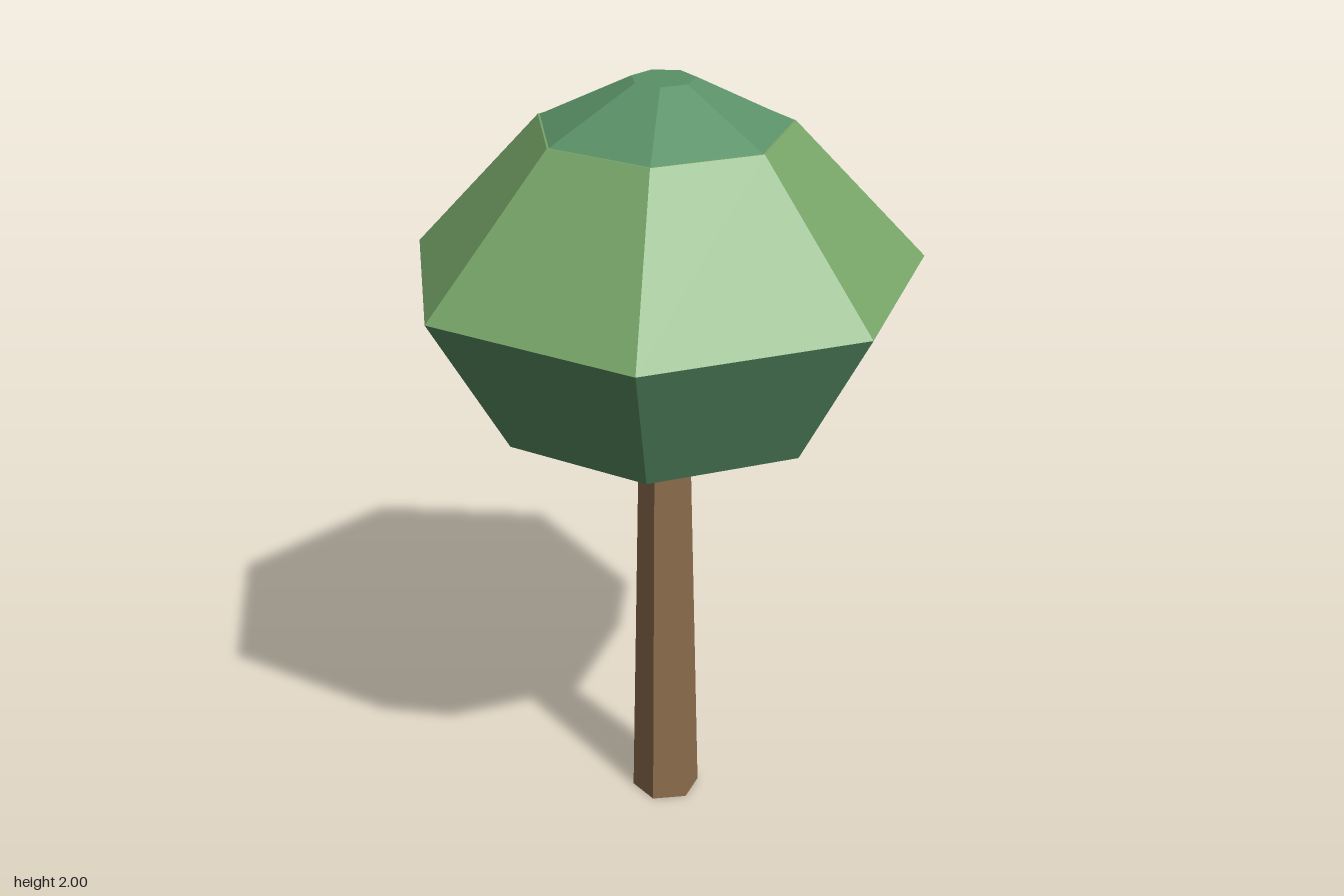
import * as THREE from 'three';

// Low-poly tree: a six-sided trunk under a seven-sided crown in three tiers
export function createModel() {
  const tree = new THREE.Group();
  tree.name = 'tree';

  const material = (name, color) => {
    const m = new THREE.MeshStandardMaterial({ color, flatShading: true });
    m.name = name;
    return m;
  };
  const bark = material('bark brown', 0x8f6f4e);
  const leaf = material('leaf green', 0x78a669);
  const deepLeaf = material('deep green', 0x5a9167);

  const axisX = -0.033;

  // Tapered prism between two heights, with one corner pointing to +x
  const tier = (name, sides, y0, r0, y1, r1, mat) => {
    const geometry = new THREE.CylinderGeometry(r1, r0, y1 - y0, sides, 1, false, Math.PI / 2);
    const mesh = new THREE.Mesh(geometry, mat);
    mesh.name = name;
    mesh.position.set(axisX, (y0 + y1) / 2, 0);
    tree.add(mesh);
  };

  tier('trunk', 6, 0, 0.09, 1.17, 0.064, bark);
  tier('lowerCrown', 7, 1.16, 0.445, 1.525, 0.653, deepLeaf);
  tier('middleCrown', 7, 1.525, 0.653, 1.885, 0.319, leaf);
  tier('crownTop', 7, 1.885, 0.314, 2, 0.079, deepLeaf);

  return tree;
}
